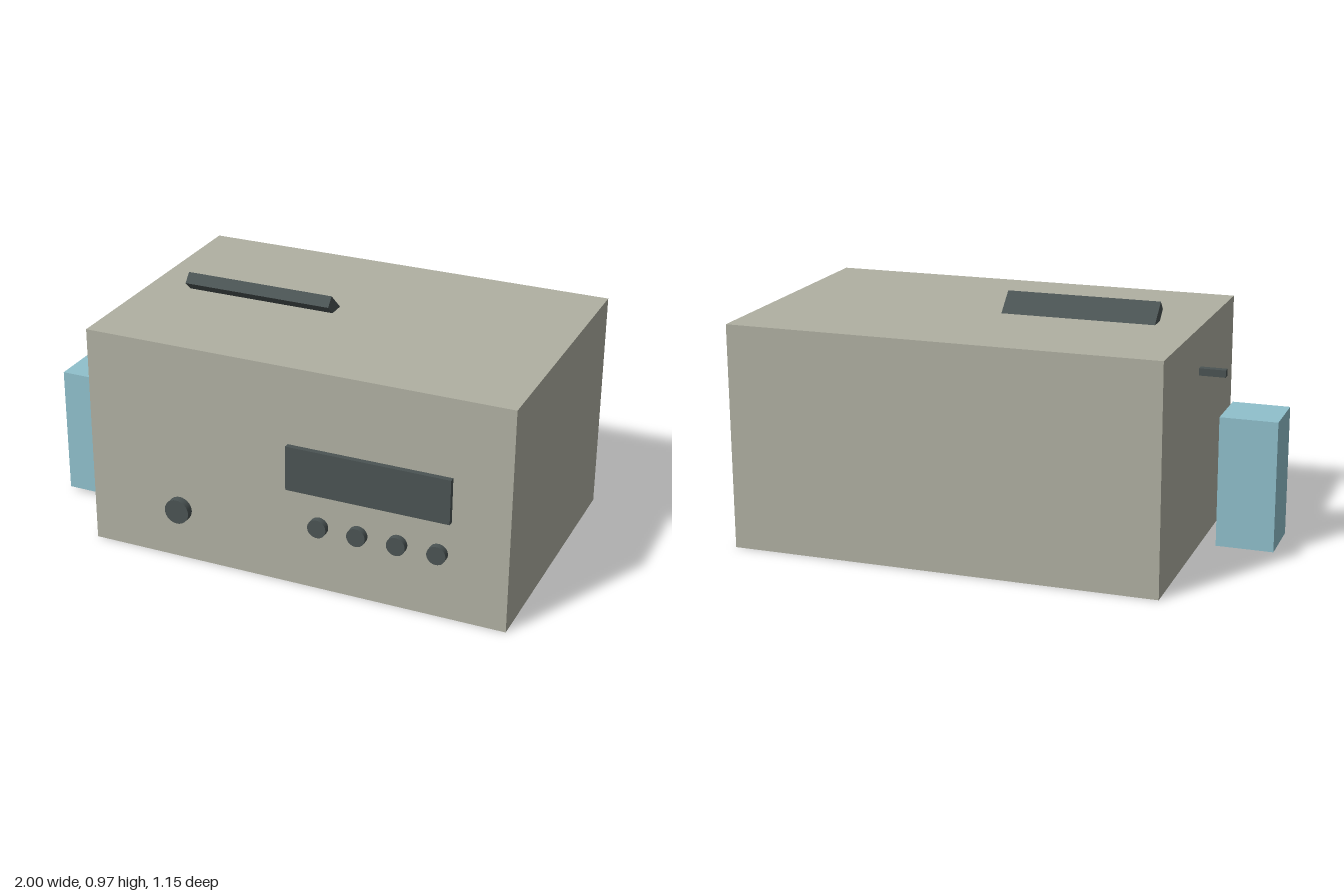
import * as THREE from 'three';

const material = (name, color) => {
  const m = new THREE.MeshStandardMaterial({ color });
  m.name = name;
  return m;
};

export function createModel() {
  const model = new THREE.Group();
  model.name = 'countertopMachine';
  const casing = material('warmGrey', 0xb0b0a2);
  const dark = material('charcoal', 0x4a5353);
  const blue = material('paleBlue', 0x90c0cc);

  const add = (name, geometry, mat, x, y, z) => {
    const mesh = new THREE.Mesh(geometry, mat);
    mesh.name = name;
    mesh.position.set(x, y, z);
    model.add(mesh);
    return mesh;
  };

  // Box given by its low and high limits on each axis
  const box = (name, mat, [x0, x1], [y0, y1], [z0, z1]) =>
    add(name, new THREE.BoxGeometry(x1 - x0, y1 - y0, z1 - z0), mat,
      (x0 + x1) / 2, (y0 + y1) / 2, (z0 + z1) / 2);

  // Round control facing the front
  const knob = (name, x, y, z0, z1, r) =>
    add(name, new THREE.CylinderGeometry(r, r, z1 - z0, 32).rotateX(Math.PI / 2),
      dark, x, y, (z0 + z1) / 2);

  // Casing, side container and the small spout above it
  box('body', casing, [-0.7, 1], [0, 0.892], [-0.577, 0.523]);
  box('sideContainer', blue, [-1, -0.773], [0.015, 0.535], [0.002, 0.23]);
  box('spout', dark, [-0.803, -0.68], [0.705, 0.733], [-0.046, -0.017]);

  // Display panel and controls
  box('displayPanel', dark, [0.132, 0.778], [0.404, 0.583], [0.5, 0.545]);
  for (let i = 0; i < 4; i++) knob('button', 0.264 + i * 0.157, 0.275, 0.534, 0.56, 0.037);
  knob('dial', -0.312, 0.225, 0.546, 0.577, 0.05);

  // Tilted flap rising out of the top
  const flap = add('topFlap', new THREE.BoxGeometry(0.612, 0.048, 0.16), dark, -0.226, 0.894, -0.033);
  flap.rotation.x = -0.733;

  return model;
}
